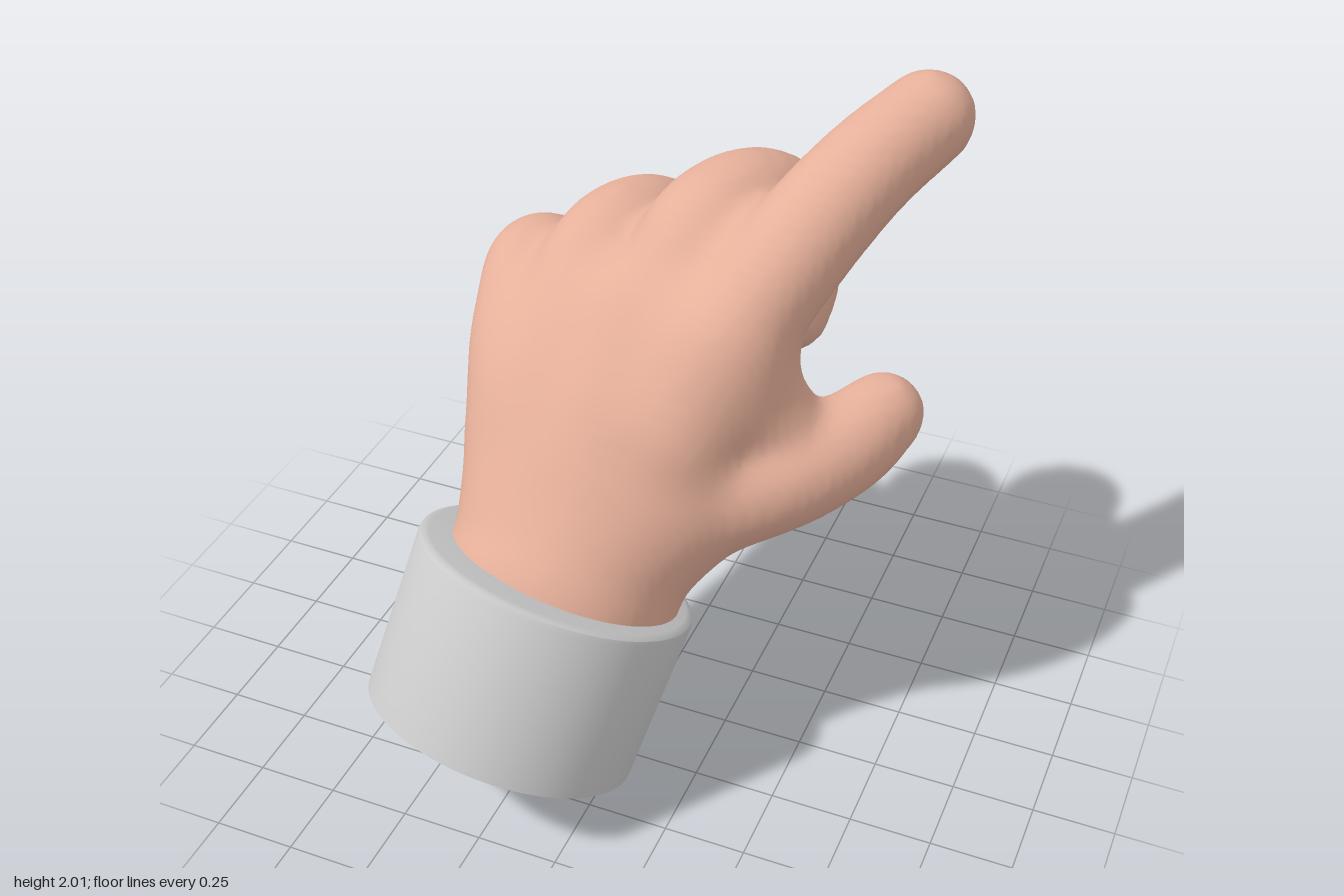
import * as THREE from 'three';
import { mergeVertices, toCreasedNormals } from 'three/addons/utils/BufferGeometryUtils.js';

// Bones of each part, as [x, y, z, radius] points from the wrist outwards
const PARTS = {
  palm: [
    [[-0.26, 0.5, 0.3, 0.28], [-0.255, 0.67, 0.215, 0.28], [-0.315, 0.92, 0.09, 0.235],
      [-0.365, 1.12, -0.01, 0.195], [-0.44, 1.2, -0.11, 0.14]],
    [[-0.21, 0.5, 0.3, 0.29], [-0.18, 0.67, 0.205, 0.29], [-0.15, 0.9, 0.07, 0.295],
      [-0.13, 1.12, -0.03, 0.255], [-0.14, 1.33, -0.13, 0.18]],
    [[-0.16, 0.5, 0.29, 0.28], [-0.12, 0.67, 0.205, 0.28], [0, 0.9, 0.06, 0.26],
      [0.1, 1.14, -0.01, 0.21], [0.19, 1.36, -0.08, 0.175]],
    // web of skin between index finger and thumb
    [[0.17, 1.38, -0.09, 0.14], [0.26, 1.24, -0.08, 0.145], [0.36, 1.09, -0.1, 0.14]],
  ],
  indexFinger: [[
    [0.1, 1.15, 0.03, 0.165], [0.215, 1.42, -0.09, 0.168], [0.335, 1.63, -0.275, 0.16],
    [0.45, 1.78, -0.47, 0.149], [0.56, 1.863, -0.682, 0.14],
  ]],
  middleFinger: [[
    [-0.06, 1.15, 0, 0.17], [-0.02, 1.41, -0.17, 0.17], [0.05, 1.58, -0.38, 0.17],
    [0.13, 1.54, -0.58, 0.165], [0.165, 1.39, -0.682, 0.159], [0.195, 1.25, -0.65, 0.143],
    [0.195, 1.18, -0.6, 0.135],
  ]],
  ringFinger: [[
    [-0.3, 1.08, 0, 0.16], [-0.32, 1.31, -0.14, 0.16], [-0.28, 1.445, -0.34, 0.159],
    [-0.22, 1.42, -0.53, 0.155], [-0.19, 1.29, -0.637, 0.152], [-0.17, 1.17, -0.59, 0.134],
    [-0.16, 1.125, -0.53, 0.125],
  ]],
  littleFinger: [[
    [-0.41, 1.0, 0.02, 0.13], [-0.485, 1.2, -0.12, 0.132], [-0.525, 1.32, -0.27, 0.134],
    [-0.515, 1.3, -0.42, 0.134], [-0.5, 1.21, -0.52, 0.13], [-0.48, 1.14, -0.5, 0.122],
    [-0.46, 1.115, -0.43, 0.114],
  ]],
  thumb: [[
    [-0.06, 0.78, 0.1, 0.22], [0.18, 0.91, 0.01, 0.2], [0.4, 0.99, -0.08, 0.17],
    [0.53, 1.04, -0.2, 0.147], [0.595, 1.08, -0.32, 0.126],
  ]],
};
const NAMES = Object.keys(PARTS);

// Smooths a bone into closely spaced points
function sampleBone(points) {
  const path = new THREE.CatmullRomCurve3(points.map(([x, y, z]) => new THREE.Vector3(x, y, z)));
  const radii = new THREE.CatmullRomCurve3(points.map((p) => new THREE.Vector3(p[3], 0, 0)));
  const steps = (points.length - 1) * 8;
  return Array.from({ length: steps + 1 }, (_, i) => {
    const { x, y, z } = path.getPoint(i / steps);
    return [x, y, z, radii.getPoint(i / steps).x];
  });
}
const BONES = NAMES.map((name) => PARTS[name].map(sampleBone));

// Distance to the skin around a bone, and how far along the bone it is (0 to 1)
function boneDistance(bone, x, y, z) {
  let distance = Infinity;
  let along = 0;
  for (let i = 0; i < bone.length - 1; i++) {
    const a = bone[i], b = bone[i + 1];
    const dx = b[0] - a[0], dy = b[1] - a[1], dz = b[2] - a[2];
    const px = x - a[0], py = y - a[1], pz = z - a[2];
    const dot = px * dx + py * dy + pz * dz;
    const t = Math.min(1, Math.max(0, dot / (dx * dx + dy * dy + dz * dz)));
    const ex = px - dx * t, ey = py - dy * t, ez = pz - dz * t;
    const d = Math.sqrt(ex * ex + ey * ey + ez * ez) - a[3] - (b[3] - a[3]) * t;
    if (d < distance) {
      distance = d;
      along = (i + t) / (bone.length - 1);
    }
  }
  return { distance, along };
}

// Union with a soft fillet of size k
function blend(a, b, k) {
  const h = Math.max(k - Math.abs(a - b), 0) / k;
  return Math.min(a, b) - h * h * k * 0.25;
}

// Distance to the whole hand; digits melt into the palm but stay separate at the tips
function handDistance(x, y, z) {
  let total = Infinity;
  let nearest = Infinity;
  let owner = 0;
  BONES.forEach((bones, part) => {
    for (const bone of bones) {
      const { distance, along } = boneDistance(bone, x, y, z);
      const fillet = part === 0 ? 0.09
        : 0.012 + 0.1 * (1 - THREE.MathUtils.smoothstep(along, 0.12, 0.5));
      total = total === Infinity ? distance : blend(total, distance, fillet);
      if (distance < nearest) {
        nearest = distance;
        owner = part;
      }
    }
  });
  return { total, owner };
}

// Evens out the skin by drawing each vertex towards its neighbours
function relax(positions, quads, passes) {
  for (let pass = 0; pass < passes; pass++) {
    const sums = new Float32Array(positions.length);
    const counts = new Float32Array(positions.length / 3);
    for (const quad of quads) {
      quad.forEach((a, n) => {
        for (const b of [quad[(n + 1) % 4], quad[(n + 3) % 4]]) {
          for (let c = 0; c < 3; c++) sums[a * 3 + c] += positions[b * 3 + c];
          counts[a]++;
        }
      });
    }
    for (let i = 0; i < positions.length; i++) {
      positions[i] += 0.6 * (sums[i] / counts[Math.floor(i / 3)] - positions[i]);
    }
  }
}

// Wraps one smooth skin around all bones on a grid, and splits it by part
function buildSkin() {
  const step = 0.026;
  const origin = [-0.78, 0.1, -0.92];
  const size = [60, 76, 63];
  const stride = [1, size[0], size[0] * size[1]];
  const field = new Float32Array(size[0] * size[1] * size[2]);
  const place = (i, axis) => origin[axis] + i * step;
  const eachPoint = (start, end, visit) => {
    for (let k = start; k < size[2] - end; k++)
      for (let j = start; j < size[1] - end; j++)
        for (let i = start; i < size[0] - end; i++)
          visit(i + j * stride[1] + k * stride[2], i, j, k);
  };
  eachPoint(0, 0, (id, i, j, k) => {
    field[id] = handDistance(place(i, 0), place(j, 1), place(k, 2)).total;
  });

  // One vertex in every cell the surface crosses
  const vertexOf = new Map();
  const positions = [], owners = [];
  eachPoint(0, 1, (id, i, j, k) => {
    const sum = [0, 0, 0];
    let count = 0;
    for (let corner = 0; corner < 8; corner++) {
      const bits = [corner & 1, (corner >> 1) & 1, corner >> 2];
      const at = id + bits[0] + bits[1] * stride[1] + bits[2] * stride[2];
      for (let axis = 0; axis < 3; axis++) {
        if (bits[axis]) continue;
        const a = field[at], b = field[at + stride[axis]];
        if ((a < 0) === (b < 0)) continue;
        for (let c = 0; c < 3; c++) sum[c] += bits[c] + (c === axis ? a / (a - b) : 0);
        count++;
      }
    }
    if (count === 0) return;
    const point = [i, j, k].map((n, c) => place(n + sum[c] / count, c));
    vertexOf.set(id, owners.length);
    positions.push(...point);
    owners.push(handDistance(...point).owner);
  });

  // One quad across every grid edge the surface crosses
  const quads = [];
  eachPoint(1, 1, (id) => {
    for (let axis = 0; axis < 3; axis++) {
      const inside = field[id] < 0;
      if (inside === field[id + stride[axis]] < 0) continue;
      const u = stride[(axis + 1) % 3];
      const v = stride[(axis + 2) % 3];
      const quad = [id - u - v, id - v, id, id - u].map((cell) => vertexOf.get(cell));
      quads.push(inside ? quad : quad.reverse());
    }
  });
  relax(positions, quads, 4);

  const whole = new THREE.BufferGeometry();
  whole.setAttribute('position', new THREE.Float32BufferAttribute(positions, 3));
  whole.setIndex(quads.flatMap(([a, b, c, d]) => [a, b, c, a, c, d]));
  whole.computeVertexNormals();
  return NAMES.map((_, part) => {
    const own = quads.filter((quad) => owners[quad[0]] === part);
    const geometry = whole.clone();
    geometry.setIndex(own.flatMap(([a, b, c, d]) => [a, b, c, a, c, d]));
    return mergeVertices(geometry.toNonIndexed(), 1e-5);
  });
}

export function createModel() {
  const model = new THREE.Group();
  model.name = 'pointingHand';
  const skin = new THREE.MeshStandardMaterial({ color: 0xe6b09a });
  const grey = new THREE.MeshStandardMaterial({ color: 0xcccccc });

  const add = (name, geometry, material) => {
    const mesh = new THREE.Mesh(geometry, material);
    mesh.name = name;
    model.add(mesh);
    return mesh;
  };

  // Cuff: a tilted solid cylinder with a softened upper rim
  const profile = [
    [0, 0], [0.42, 0], [0.431, 0.512], [0.427, 0.525], [0.418, 0.532], [0.404, 0.535], [0, 0.535],
  ].map(([x, y]) => new THREE.Vector2(x, y));
  const cuff = add('cuff', toCreasedNormals(new THREE.LatheGeometry(profile, 64), 0.6), grey);
  cuff.position.set(-0.31, 0.187, 0.459);
  cuff.quaternion.setFromUnitVectors(
    new THREE.Vector3(0, 1, 0), new THREE.Vector3(0.105, 0.478, -0.226).normalize());

  // Palm, thumb and fingers
  buildSkin().forEach((geometry, part) => add(NAMES[part], geometry, skin));
  return model;
}
